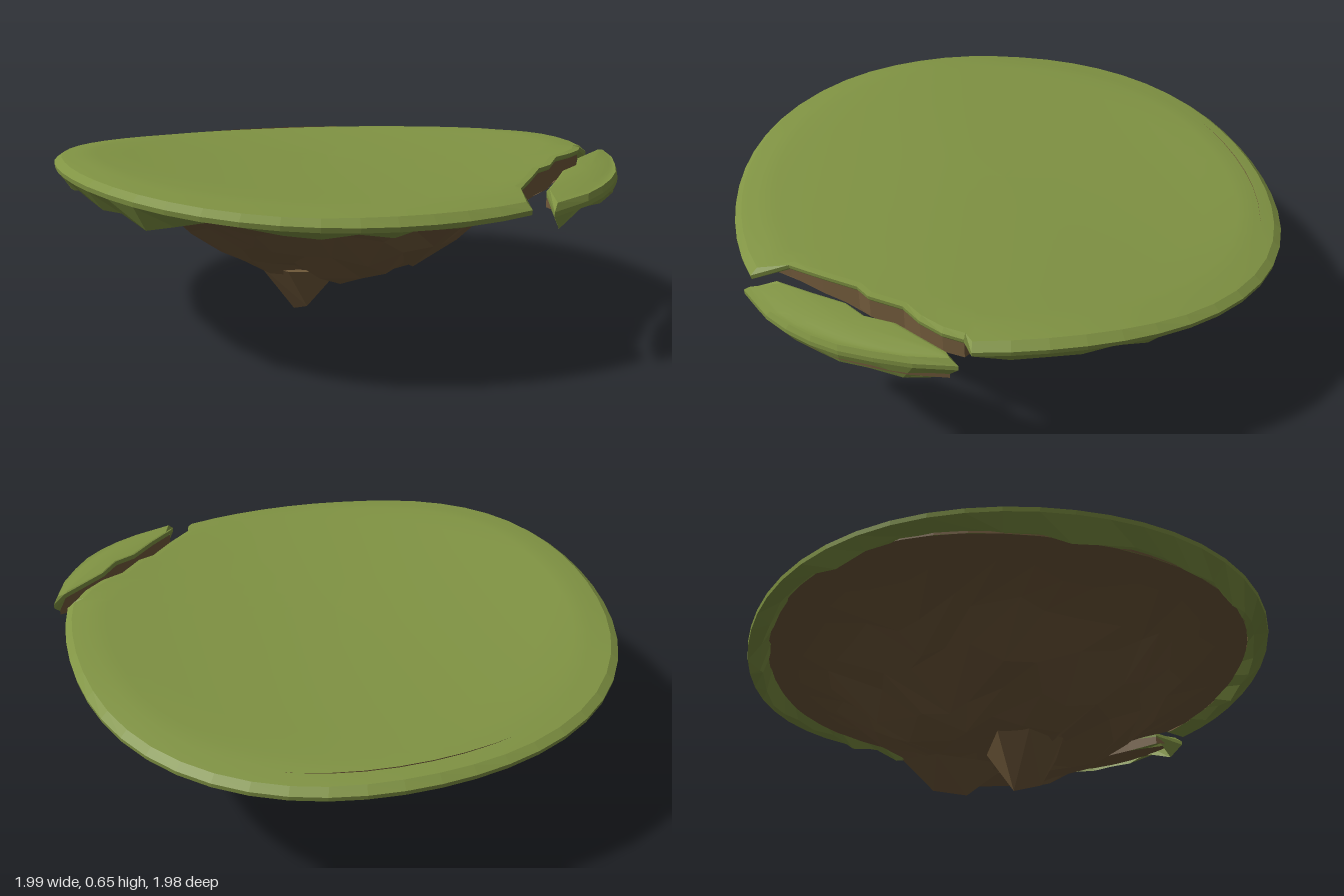
import * as THREE from 'three';
import { ConvexGeometry } from 'three/addons/geometries/ConvexGeometry.js';

const GRASS = 0x809343, ROCK = 0x715a3b;
const smoothGrass = new THREE.MeshStandardMaterial({ color: GRASS, side: THREE.DoubleSide });
const flatGrass = new THREE.MeshStandardMaterial({ color: GRASS, flatShading: true, side: THREE.DoubleSide });
const rock = new THREE.MeshStandardMaterial({ color: ROCK, flatShading: true, side: THREE.DoubleSide });

// Repeatable value in 0..1 for a pair of numbers
const hash = (a, b) => {
  const s = Math.sin(a * 127.1 + b * 311.7 + 4.3) * 43758.5453;
  return s - Math.floor(s);
};

// Gently rolling meadow that rounds off near the rim
function meadow(x, z, rho) {
  const edge = Math.min(Math.max(0, (rho - 0.85) / 0.13), 1);
  return 0.59 + 0.05 * (x - 0.05) ** 2 + 0.018 * Math.cos((z - 0.4) * 2.6) - 0.02 * edge * edge;
}

// Height of the rocky underside by radius
const PROFILE = [[0, 0.15], [0.12, 0.16], [0.25, 0.182], [0.36, 0.21], [0.48, 0.28], [0.6, 0.41], [0.75, 0.495], [0.88, 0.55], [1.2, 0.565]];
function underside(r) {
  const i = Math.max(1, PROFILE.findIndex((p) => p[0] >= r));
  const [a, b] = [PROFILE[i - 1], PROFILE[i]];
  return a[1] + (b[1] - a[1]) * (r - a[0]) / (b[0] - a[0]);
}

function build(name, positions, index, material) {
  const g = new THREE.BufferGeometry();
  g.setAttribute('position', new THREE.Float32BufferAttribute(positions.flat(), 3));
  g.setIndex(index);
  g.computeVertexNormals();
  const mesh = new THREE.Mesh(g, material);
  mesh.name = name;
  return mesh;
}

// Skin a list of closed rings, each an array of [x, y, z]
function loft(name, rings, material) {
  const n = rings[0].length, index = [];
  for (let r = 0; r < rings.length - 1; r++) {
    for (let i = 0; i < n; i++) {
      const j = (i + 1) % n, a = r * n, b = a + n;
      index.push(a + i, a + j, b + i, a + j, b + j, b + i);
    }
  }
  return build(name, rings.flat(), index, material);
}

// Distance from the centre to the outline in direction (dx, dz)
function reach(outline, [cx, cz], dx, dz) {
  let best = 0;
  outline.forEach((p, i) => {
    const q = outline[(i + 1) % outline.length];
    const ex = q[0] - p[0], ez = q[1] - p[1], px = p[0] - cx, pz = p[1] - cz;
    const det = dx * ez - dz * ex;
    const t = (px * ez - pz * ex) / det, s = (px * dz - pz * dx) / det;
    if (t > 0 && s >= -1e-6 && s <= 1 + 1e-6) best = Math.max(best, t);
  });
  return best;
}

// Blocky underside: a square grid squeezed into the outline
function rockUnderside(name, outline, centre, shift, cells, seed) {
  const positions = [], index = [], row = cells + 1;
  for (let j = 0; j <= cells; j++) {
    for (let i = 0; i <= cells; i++) {
      const border = i % cells === 0 || j % cells === 0;
      const wobble = (k) => (border ? 0 : (hash(i + k, j * 3 + seed) - 0.5) * 0.55);
      const u = (2 * (i + wobble(0))) / cells - 1, v = (2 * (j + wobble(40))) / cells - 1;
      const s = Math.max(Math.abs(u), Math.abs(v)), a = Math.atan2(v, u);
      const d = s ? s * reach(outline, centre, Math.cos(a), Math.sin(a)) : 0;
      const x = centre[0] + d * Math.cos(a), z = centre[1] + d * Math.sin(a);
      const r = Math.hypot(x - shift, z - shift);
      const rough = Math.min(0.07, Math.max(0, 0.85 - r) * 0.2) * (hash(i + 7, j + seed) - 0.35);
      positions.push([x, underside(r) + rough, z]);
      if (i < cells && j < cells) {
        const k = j * row + i;
        index.push(k, k + 1, k + row, k + 1, k + row + 1, k + row);
      }
    }
  }
  return build(name, positions, index, rock);
}

// One slab of land: outline points are [x, z, isCut], shift is the centre of its rim circle
function land({ name, outline, centre, shift, bevel, cells, seed }) {
  const at = (p, t) => [centre[0] + (p[0] - centre[0]) * t, centre[1] + (p[1] - centre[1]) * t];
  const top = (p, t) => {
    const [x, z] = at(p, t);
    return [x, meadow(x, z, Math.hypot(x - shift, z - shift)), z];
  };
  // Ring below the meadow edge; each rule returns [scale, height] for a point
  const ring = (rule) => outline.map((p, i) => {
    const [t, y] = rule(p, top(p, 1)[1], i);
    const [x, z] = at(p, t);
    return [x, y, z];
  });
  const group = new THREE.Group();
  group.name = name;

  // Grass surface
  const scales = [0, 0.2, 0.4, 0.6, 0.75, 0.87, 0.93, 1].map((t) => t * bevel);
  group.add(loft(name + 'GrassTop', scales.map((t) => outline.map((p) => top(p, t))), smoothGrass));

  // Bevelled edge and ragged skirt; along the crack it is only a thin layer
  const inset = 1 - (1 - bevel) * 2;
  group.add(loft(name + 'GrassRim', [
    outline.map((p) => top(p, bevel)),
    ring((p, y) => [1, y - (p[2] ? 0.002 : 0.02)]),
    ring((p, y) => [0.998, y - (p[2] ? 0.015 : 0.036)]),
    ring((p, y, i) => (p[2] ? [0.995, y - 0.02] : [inset, Math.min(y - 0.02, 0.566) - 0.07 * hash(i, seed) ** 1.3])),
    ring((p, y) => (p[2] ? [0.99, y - 0.02] : [0.91, 0.565])),
  ], flatGrass));

  // Broken rock face along the crack, tucked under the skirt elsewhere
  const start = (p) => (p[2] ? 0.993 : 0.925);
  const foot = outline.map((p) => [...at(p, start(p)), p[2]]);
  const footHeight = (i) => underside(Math.hypot(foot[i][0] - shift, foot[i][1] - shift));
  group.add(loft(name + 'RockFace', [
    ring((p, y) => [start(p), p[2] ? y - 0.012 : 0.57]),
    ring((p, y, i) => [start(p), footHeight(i)]),
  ], rock));
  group.add(rockUnderside(name + 'Rock', foot, centre, shift, cells, seed));
  return group;
}

// Faceted stone wedge hanging below the island
function spike(points) {
  const mesh = new THREE.Mesh(new ConvexGeometry(points.map((p) => new THREE.Vector3(...p))), rock);
  mesh.name = 'rockSpike';
  return mesh;
}

export function createModel() {
  const model = new THREE.Group();
  model.name = 'floatingIsland';

  // Main island: a slightly squared disc bitten by the crack
  const outline = [];
  const steps = 46, from = 1.178, to = 6.575;
  for (let i = 0; i <= steps; i++) {
    const a = from + (to - from) * i / steps;
    const r = 0.988 + 0.04 * Math.sin(2 * a) ** 2;
    outline.push([-0.01 + r * Math.cos(a), -0.003 + r * Math.sin(a), false]);
  }
  const crack = [[0.91, 0.3], [0.87, 0.36], [0.8, 0.42], [0.72, 0.46], [0.64, 0.56], [0.58, 0.59], [0.49, 0.7], [0.4, 0.8]];
  crack.forEach(([x, z]) => outline.push([x, z, true]));
  model.add(land({ name: 'mainIsland', outline, centre: [0, 0], shift: 0, bevel: 0.974, cells: 14, seed: 2 }));

  // Broken-off sliver
  const inner = [[0.47, 0.84], [0.56, 0.74], [0.65, 0.63], [0.73, 0.58], [0.79, 0.49], [0.95, 0.36]];
  const outer = [[0.995, 0.33], [0.955, 0.46], [0.9, 0.57], [0.84, 0.67], [0.77, 0.75], [0.69, 0.82], [0.6, 0.88], [0.44, 0.95]];
  const sliver = [...inner.map((p) => [...p, true]), ...outer.map((p) => [...p, false])];
  const piece = land({ name: 'brokenPiece', outline: sliver, centre: [0.74, 0.65], shift: 0.05, bevel: 0.93, cells: 4, seed: 5 });
  piece.position.y = -0.008;
  model.add(piece);

  // Hanging spikes
  model.add(
    spike([[-0.27, 0.19, 0.02], [-0.2, 0.2, 0.17], [-0.02, 0.19, 0.2], [0, 0.13, 0.04], [-0.04, 0.17, -0.08], [-0.2, 0.2, -0.08],
      [-0.13, 0, 0], [-0.11, 0.04, 0.11]]),
    spike([[-0.03, 0.15, -0.06], [0.1, 0.18, 0.02], [0.3, 0.19, -0.1], [0.34, 0.22, -0.24], [0.2, 0.22, -0.36], [0.02, 0.18, -0.26],
      [0.11, 0.06, -0.12], [0.22, 0.11, -0.23]]),
  );
  return model;
}
